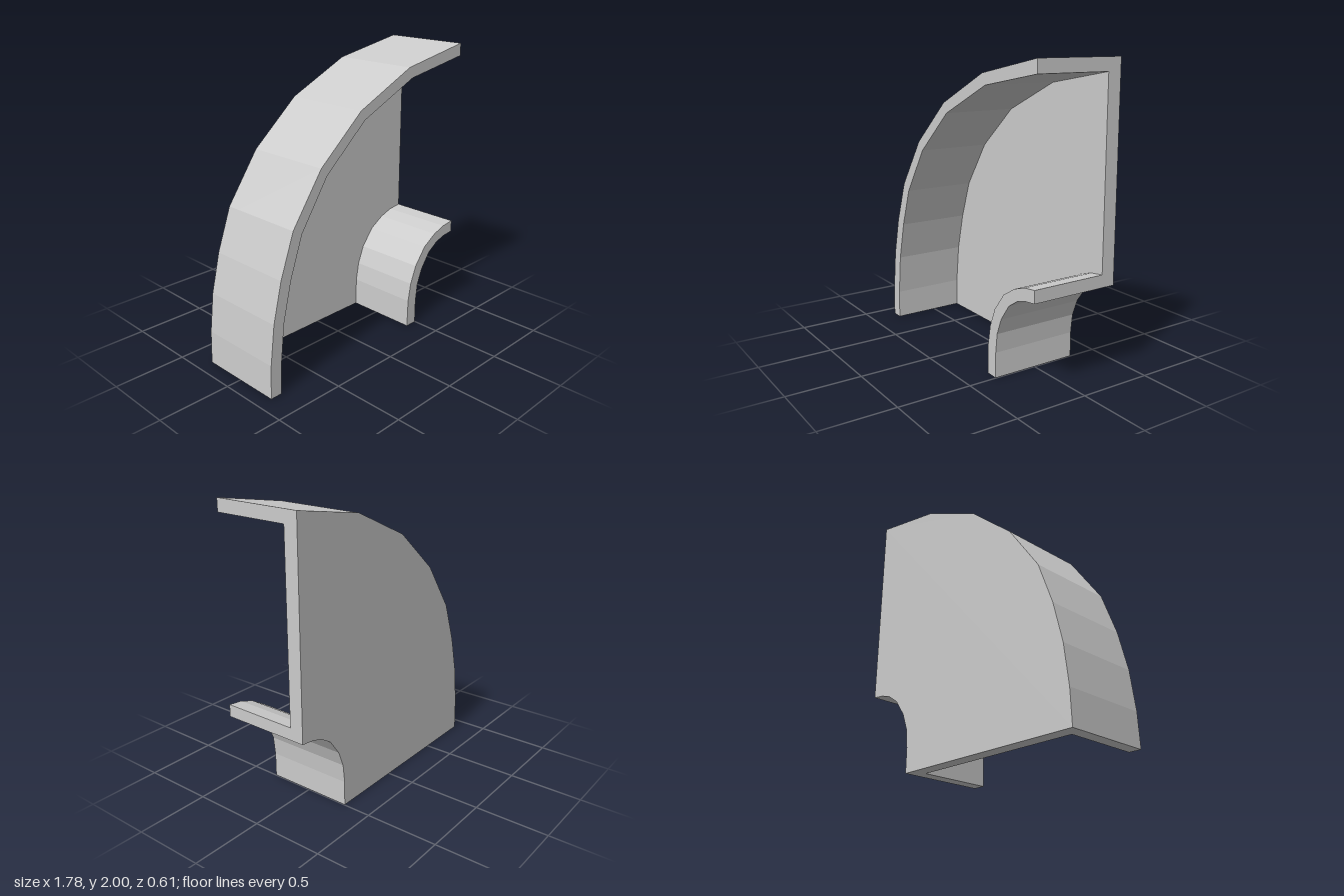
import * as THREE from 'three';

// Edge curves of the bend, each running from the upper end to the lower end
const outerEdge = [[0.89, 2], [0.35, 1.9], [-0.105, 1.69], [-0.45, 1.395], [-0.685, 1.06],
  [-0.79, 0.77], [-0.855, 0.5], [-0.887, 0.23], [-0.895, 0]];
const outerLip = [[0.89, 1.915], [0.38, 1.828], [-0.07, 1.625], [-0.4, 1.34], [-0.615, 1.02],
  [-0.71, 0.75], [-0.775, 0.48], [-0.805, 0.2], [-0.81, 0]];
const innerLip = [[0.89, 0.693], [0.79, 0.68], [0.69, 0.645], [0.58, 0.577], [0.485, 0.455],
  [0.435, 0.33], [0.412, 0.2], [0.408, 0]];
const innerEdge = [[0.89, 0.61], [0.8, 0.6], [0.72, 0.575], [0.635, 0.52], [0.555, 0.41],
  [0.512, 0.3], [0.497, 0.17], [0.497, 0]];

const BACK = -0.305, PLATE_FRONT = -0.21, FRONT = 0.305;

export function createModel() {
  const group = new THREE.Group();
  const material = new THREE.MeshStandardMaterial({ color: 0xcccccc, flatShading: true });

  // Extrudes the area between two edge curves from z0 to z1
  function addBand(name, edgeA, edgeB, z0, z1) {
    const outline = [...edgeA, ...[...edgeB].reverse()].map(([x, y]) => new THREE.Vector2(x, y));
    const geometry = new THREE.ExtrudeGeometry(new THREE.Shape(outline), {
      depth: z1 - z0, bevelEnabled: false,
    });
    geometry.translate(0, 0, z0);
    const mesh = new THREE.Mesh(geometry, material);
    mesh.name = name;
    group.add(mesh);
  }

  // Flat back with a curved wall along each edge; front and both ends stay open
  addBand('backPlate', outerEdge, innerEdge, BACK, PLATE_FRONT);
  addBand('outerWall', outerEdge, outerLip, PLATE_FRONT, FRONT);
  addBand('innerWall', innerLip, innerEdge, PLATE_FRONT, FRONT);

  return group;
}
